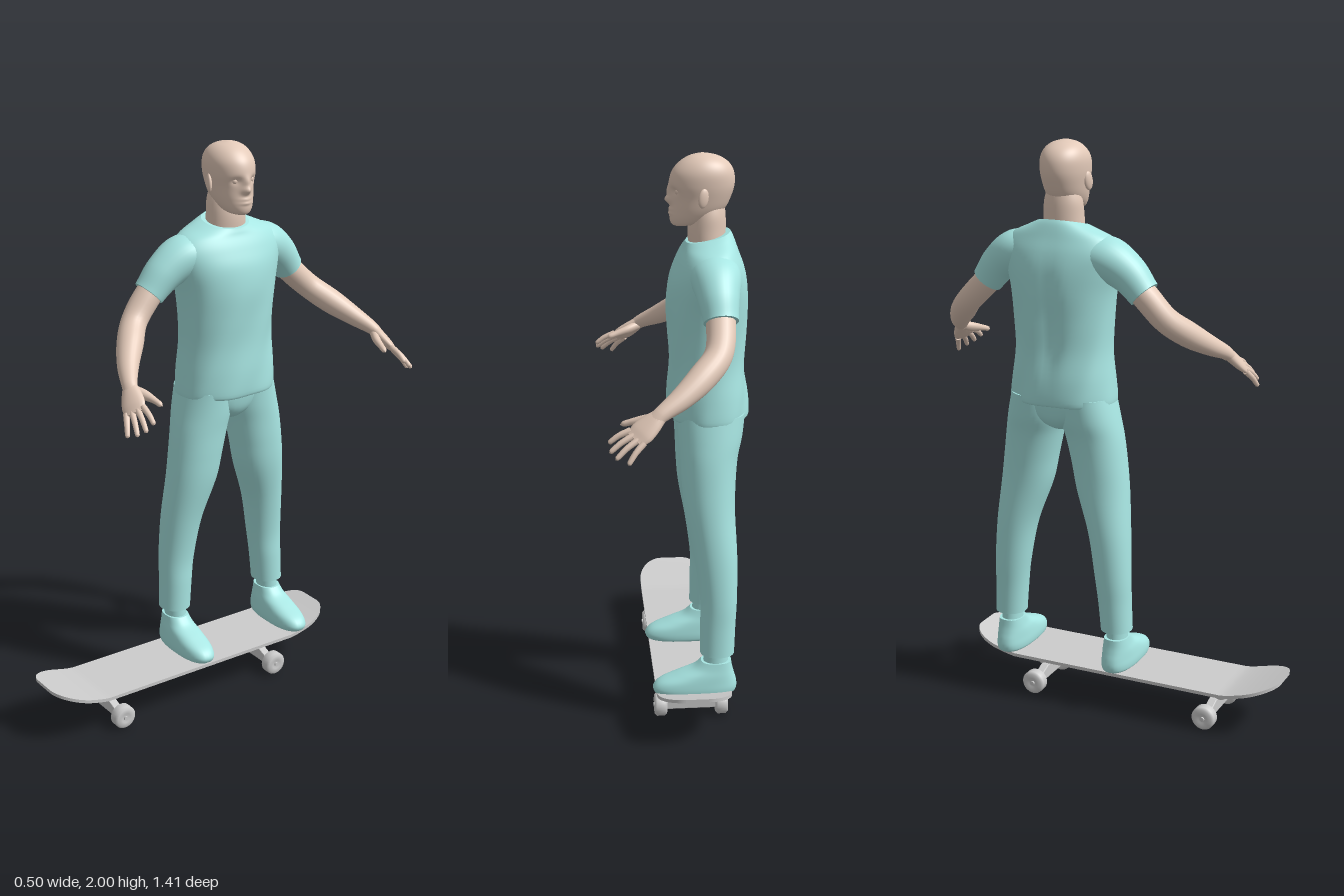
import * as THREE from 'three';

const mat = (name, color) => {
  const m = new THREE.MeshStandardMaterial({ color });
  m.name = name;
  return m;
};
const CZ = -0.107; // the figure's own middle plane, it faces +x
const V = (x, y, z) => new THREE.Vector3(x, y, z);
const P = (x, y, d, s) => V(x, y, CZ + s * d);
const bell = (v, w) => Math.exp(-((v / w) ** 2));

// smooth interpolation through rows of numbers, t from 0 to 1
function blend(rows, t) {
  const f = t * (rows.length - 1), i = Math.min(Math.floor(f), rows.length - 2), u = f - i;
  const row = (k) => rows[Math.max(0, Math.min(rows.length - 1, k))];
  const [a, b, c, d] = [row(i - 1), row(i), row(i + 1), row(i + 2)];
  return b.map((_, k) => b[k] + 0.5 * u * (c[k] - a[k]
    + u * (2 * a[k] - 5 * b[k] + 4 * c[k] - d[k] + u * (3 * (b[k] - c[k]) + d[k] - a[k]))));
}

// closed skin over rings given by fn(t, angle), with flat end caps
function skin(n, segs, fn) {
  const pos = [], idx = [];
  for (let i = 0; i <= n; i++)
    for (let j = 0; j < segs; j++) pos.push(...fn(i / n, (j / segs) * Math.PI * 2).toArray());
  for (let i = 0; i < n; i++)
    for (let j = 0; j < segs; j++) {
      const k = (j + 1) % segs, a = i * segs + j, b = i * segs + k;
      idx.push(a, a + segs, b, b, a + segs, b + segs);
    }
  for (const end of [0, 1]) {
    const base = pos.length / 3, mid = V(0, 0, 0);
    for (let j = 0; j < segs; j++) {
      const p = fn(end, (j / segs) * Math.PI * 2);
      mid.addScaledVector(p, 1 / segs);
      pos.push(...p.toArray());
    }
    pos.push(...mid.toArray());
    for (let j = 0; j < segs; j++) {
      const a = base + j, b = base + ((j + 1) % segs);
      idx.push(base + segs, ...(end ? [b, a] : [a, b]));
    }
  }
  const g = new THREE.BufferGeometry();
  g.setAttribute('position', new THREE.Float32BufferAttribute(pos, 3));
  g.setIndex(idx);
  g.computeVertexNormals();
  return g;
}

// upright loft, rows: [y, back x, front x, distance from middle plane, half width]
function loft(rows, s = 1, { segs = 40, steps = 6, boxy = 1, rule } = {}) {
  const pw = (v) => Math.sign(v) * Math.abs(v) ** boxy;
  return skin((rows.length - 1) * steps, segs, (t, a) => {
    const [y, xb, xf, d, rz] = blend(rows, t);
    const p = P((xb + xf) / 2 + ((xf - xb) / 2) * pw(Math.cos(a)), y, d, s);
    p.z += rz * pw(Math.sin(a));
    if (rule) rule(p, a, t);
    return p;
  });
}

// limb along points, radii rows: [radius along side, radius across it]
function sweep(points, radii, side, segs = 20, steps = 6) {
  const curve = new THREE.CatmullRomCurve3(points);
  return skin((points.length - 1) * steps, segs, (t, a) => {
    const dir = curve.getTangent(t);
    const u = side.clone().addScaledVector(dir, -side.dot(dir)).normalize();
    const w = u.clone().cross(dir);
    const [ra, rb] = blend(radii, t);
    return curve.getPoint(t).addScaledVector(u, ra * Math.cos(a)).addScaledVector(w, rb * Math.sin(a));
  });
}

export function createModel() {
  const model = new THREE.Group();
  const teal = mat('tealCloth', 0xa8e6e3), flesh = mat('skin', 0xe3cab9), grey = mat('boardGrey', 0xcccccc);
  const add = (name, geo, material, x = 0, y = 0, z = 0, parent = model) => {
    const m = new THREE.Mesh(geo, material);
    m.name = name;
    m.position.set(x, y, z);
    parent.add(m);
    return m;
  };

  // head, with nose, eye sockets and lips raised by a rule
  add('head', loft([
    [1.762, -0.03, 0.0, 0, 0.012], [1.77, -0.08, 0.012, 0, 0.038], [1.79, -0.13, 0.018, 0, 0.055],
    [1.82, -0.165, 0.016, 0, 0.067], [1.86, -0.185, 0.013, 0, 0.075], [1.9, -0.196, 0.02, 0, 0.081],
    [1.94, -0.193, 0.011, 0, 0.08], [1.97, -0.175, -0.013, 0, 0.067], [1.99, -0.142, -0.045, 0, 0.043],
    [2.0, -0.1, -0.08, 0, 0.008]], 1, {
    segs: 96, steps: 9, rule: (p, a) => {
      if (Math.cos(a) < 0.2) return;
      const u = p.z - CZ, y = p.y;
      p.x += bell(u, 0.017) * (0.02 * bell(y - 1.85, 0.014) + 0.011 * bell(y - 1.876, 0.018));
      p.x -= 0.009 * bell(Math.abs(u) - 0.032, 0.017) * bell(y - 1.882, 0.013);
      p.x += bell(u, 0.022) * 0.005 * (bell(y - 1.819, 0.006) + bell(y - 1.806, 0.006));
    },
  }), flesh);
  add('neck', loft([[1.64, -0.165, -0.05, 0, 0.078], [1.74, -0.168, -0.042, 0, 0.071],
    [1.8, -0.167, -0.05, 0, 0.066], [1.85, -0.16, -0.06, 0, 0.05]]), flesh);

  // shirt body with a lowered front neckline, a back hollow and soft folds
  add('shirt', loft([
    [1.115, -0.235, 0.012, 0, 0.18], [1.125, -0.248, 0.024, 0, 0.19], [1.2, -0.246, 0.025, 0, 0.184],
    [1.3, -0.236, 0.021, 0, 0.174], [1.4, -0.24, 0.025, 0, 0.177], [1.5, -0.245, 0.029, 0, 0.187],
    [1.58, -0.24, 0.02, 0, 0.205], [1.64, -0.226, -0.002, 0, 0.214], [1.685, -0.207, -0.022, 0, 0.182],
    [1.713, -0.193, -0.03, 0, 0.12], [1.727, -0.183, -0.035, 0, 0.084]], 1, {
    segs: 64, steps: 5, boxy: 0.92, rule: (p, a, t) => {
      const u = p.z - CZ, low = Math.max(0, 1 - t * 1.5);
      if (Math.cos(a) < 0) p.x += 0.016 * bell(u, 0.035) * bell(p.y - 1.4, 0.17);
      p.x += 0.004 * low * Math.sin(a * 7 + p.y * 22);
      p.y -= 0.018 * Math.cos(a) * bell(p.y - 1.73, 0.04);
    },
  }), teal);

  // seat of the trousers, joining both legs
  add('trouserSeat', loft([[1.012, -0.15, -0.07, 0, 0.015], [1.03, -0.19, -0.035, 0, 0.05], [1.06, -0.215, -0.014, 0, 0.11],
    [1.1, -0.225, -0.004, 0, 0.16], [1.14, -0.228, 0.0, 0, 0.175]], 1, { boxy: 0.92 }), teal);

  for (const s of [1, -1]) {
    const tag = s > 0 ? 'right' : 'left';
    const part = (name, geo, m) => add(tag + name, geo, m);
    const k = s > 0 ? 0 : 0.02; // the left shoulder is held a little closer

    // sleeve and bare arm
    part('Sleeve', sweep([P(-0.115, 1.635, 0.09, s), P(-0.12, 1.617, 0.17, s), P(-0.122, 1.573, 0.245 - k / 2, s), P(-0.125, 1.51, 0.305 - k, s)],
      [[0.085, 0.06], [0.083, 0.075], [0.068, 0.066], [0.057, 0.055]], V(1, 0, 0), 32, 8), teal);
    part('Arm', sweep([P(-0.122, 1.56, 0.252 - k, s), P(-0.124, 1.5, 0.312 - k, s), P(-0.108, 1.427, 0.376 - k / 3, s),
      P(-0.05, 1.372, 0.43, s), P(0.02, 1.323, 0.483, s), P(0.085, 1.286, 0.519, s), P(0.11, 1.267, 0.529, s)],
    [[0.045, 0.045], [0.048, 0.046], [0.046, 0.044], [0.046, 0.044], [0.037, 0.034], [0.027, 0.023], [0.028, 0.018]],
    V(-0.6, -0.45, 0.65 * s), 24), flesh);

    // palm, four fingers and thumb
    const side = V(-0.6, -0.45, 0.65 * s);
    part('Palm', sweep([P(0.085, 1.286, 0.519, s), P(0.115, 1.262, 0.531, s), P(0.145, 1.238, 0.543, s), P(0.17, 1.219, 0.553, s)],
      [[0.025, 0.02], [0.036, 0.019], [0.042, 0.016], [0.036, 0.009]], side), flesh);
    [[0.25, 1.202, 0.531], [0.248, 1.18, 0.559], [0.23, 1.165, 0.582], [0.192, 1.152, 0.597]].forEach((tip, i) => {
      const root = P(0.16, 1.227, 0.548, s).addScaledVector(side, (i - 1.5) * 0.021);
      const end = P(...tip, s), mid = root.clone().lerp(end, 0.55);
      mid.y += 0.005;
      part('Finger', sweep([root, mid, end.clone().lerp(root, 0.06), end],
        [[0.011, 0.011], [0.0095, 0.0095], [0.0075, 0.0075], [0.001, 0.001]], side, 10, 4), flesh);
    });
    part('Thumb', sweep([P(0.095, 1.275, 0.515, s), P(0.135, 1.262, 0.494, s), P(0.175, 1.252, 0.481, s), P(0.2, 1.244, 0.475, s), P(0.21, 1.241, 0.473, s)],
      [[0.016, 0.016], [0.017, 0.014], [0.011, 0.011], [0.009, 0.009], [0.001, 0.001]], side, 12, 4), flesh);

    // ear and eye
    const ear = part('Ear', new THREE.SphereGeometry(1, 20, 14), flesh);
    ear.scale.set(0.018, 0.032, 0.009);
    ear.position.copy(P(-0.086, 1.866, 0.082, s));
    ear.rotation.set(0, -0.35 * s, 0.15);
    const eye = part('Eye', new THREE.SphereGeometry(0.012, 16, 12), flesh);
    eye.position.copy(P(-0.009, 1.881, 0.032, s));

    // trouser leg
    part('TrouserLeg', loft([
      [0.3, -0.19, -0.072, 0.21, 0.055], [0.4, -0.194, -0.072, 0.204, 0.058], [0.5, -0.199, -0.072, 0.197, 0.064],
      [0.65, -0.2, -0.052, 0.18, 0.074], [0.8, -0.194, -0.024, 0.148, 0.093], [0.9, -0.196, -0.014, 0.132, 0.098],
      [0.99, -0.204, -0.009, 0.116, 0.102], [1.06, -0.22, -0.004, 0.1, 0.104], [1.14, -0.23, 0.0, 0.09, 0.095]], s, { boxy: 0.95 }), teal);

    // sock and shoe
    part('Sock', loft([[0.22, -0.175, -0.08, 0.21, 0.04], [0.27, -0.17, -0.083, 0.21, 0.037], [0.32, -0.168, -0.085, 0.21, 0.037]], s), teal);
    part('Shoe', loft([
      [0.15, -0.188, 0.075, 0.21, 0.05], [0.157, -0.196, 0.088, 0.21, 0.057], [0.175, -0.2, 0.092, 0.21, 0.059],
      [0.198, -0.197, 0.07, 0.21, 0.057], [0.222, -0.19, 0.012, 0.21, 0.053], [0.245, -0.184, -0.045, 0.21, 0.047],
      [0.27, -0.18, -0.075, 0.21, 0.042]], s, { boxy: 0.82 }), teal);
  }

  // board: a box bent up at both ends and rounded in outline
  const deck = new THREE.BoxGeometry(2, 1, 2, 12, 1, 80), q = deck.attributes.position;
  for (let i = 0; i < q.count; i++) {
    const off = 0.587 * Math.sin((q.getZ(i) * Math.PI) / 2), near = Math.min(1, (0.587 - Math.abs(off)) / 0.12);
    const half = 0.04 + 0.09 * Math.sqrt(Math.max(0, 1 - (1 - near) ** 2));
    const lift = 0.052 * Math.max(0, (Math.abs(off) - 0.4) / 0.187) ** 1.25;
    q.setXYZ(i, -0.05 + half * q.getX(i), 0.14 + 0.012 * q.getY(i) + lift, 0.117 + off);
  }
  deck.computeVertexNormals();
  add('deck', deck, grey);

  // trucks and wheels
  const wheelShape = [[0.001, -0.019], [0.016, -0.019], [0.018, -0.022], [0.034, -0.022], [0.042, -0.014], [0.042, 0.014],
    [0.034, 0.022], [0.018, 0.022], [0.016, 0.019], [0.001, 0.019]].map(([x, y]) => new THREE.Vector2(x, y));
  const hangerShape = new THREE.Shape([[-0.09, 0.03], [0.09, 0.03], [0.09, 0.05], [0.03, 0.072], [-0.03, 0.072], [-0.09, 0.05]]
    .map(([x, y]) => new THREE.Vector2(x, y)));
  for (const [z, inward] of [[0.452, -1], [-0.212, 1]]) {
    const truck = new THREE.Group();
    truck.name = 'truck';
    truck.position.set(-0.05, 0, z);
    model.add(truck);
    add('basePlate', new THREE.BoxGeometry(0.07, 0.012, 0.09), grey, 0, 0.129, inward * -0.015, truck);
    const hanger = new THREE.ExtrudeGeometry(hangerShape, { depth: 0.024, bevelSize: 0.003, bevelThickness: 0.003, bevelSegments: 2 });
    add('hanger', hanger, grey, 0, 0, -0.012, truck);
    const post = add('kingpin', new THREE.CylinderGeometry(0.014, 0.014, 0.075, 16), grey, 0, 0.092, inward * -0.012, truck);
    post.rotation.x = inward * -0.35;
    for (const y of [0.084, 0.108])
      add('bushing', new THREE.CylinderGeometry(0.026, 0.023, 0.018, 20), grey, 0, y, inward * -0.014, truck).rotation.x = inward * -0.35;
    add('pivot', new THREE.BoxGeometry(0.022, 0.05, 0.026), grey, 0, 0.104, inward * 0.016, truck).rotation.x = inward * 0.5;
    add('axle', new THREE.CylinderGeometry(0.008, 0.008, 0.268, 14), grey, 0, 0.042, 0, truck).rotation.z = Math.PI / 2;
    for (const s of [1, -1])
      add('wheel', new THREE.LatheGeometry(wheelShape, 32), grey, s * 0.109, 0.042, 0, truck).rotation.z = Math.PI / 2;
  }
  return model;
}
